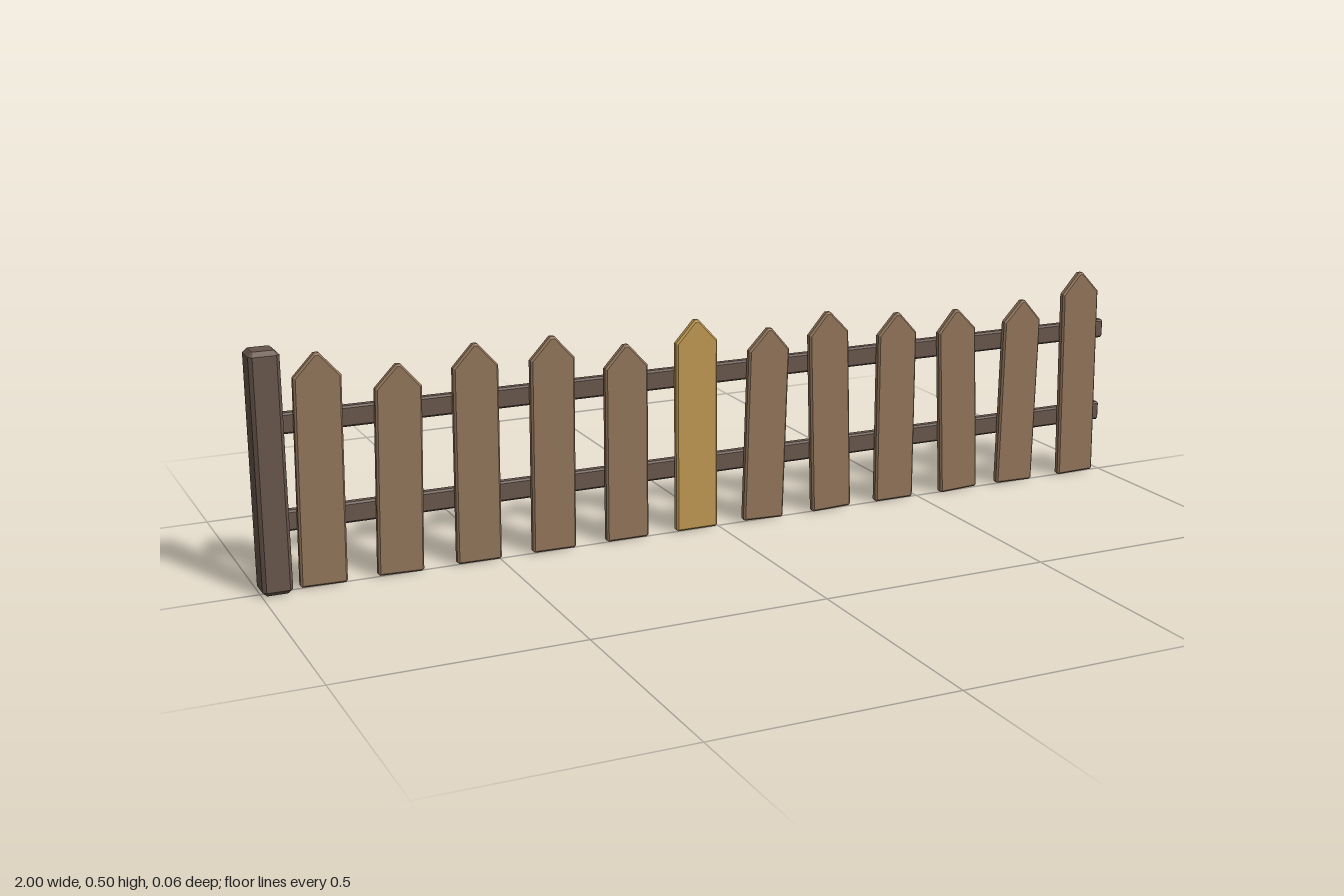
import * as THREE from 'three';

const paint = (name, color) => {
  const m = new THREE.MeshStandardMaterial({ color });
  m.name = name;
  return m;
};

// Solid outline with a single flat bevel, kept inside the outline and centred in depth
function beveled(points, depth, bevel) {
  const shape = new THREE.Shape(points.map(([x, y]) => new THREE.Vector2(x, y)));
  const g = new THREE.ExtrudeGeometry(shape, {
    depth: depth - 2 * bevel, bevelEnabled: true, bevelThickness: bevel,
    bevelSize: bevel, bevelOffset: -bevel, bevelSegments: 1,
  });
  return g.translate(0, 0, bevel - depth / 2);
}

// Rectangle with chamfered corners
const chamferedRect = (w, h, c) => {
  const x = w / 2, y = h / 2;
  return [[-x + c, -y], [x - c, -y], [x, -y + c], [x, y - c], [x - c, y], [-x + c, y], [-x, y - c], [-x, -y + c]];
};

// Pointed board standing on its bottom centre
const picketOutline = (h) => {
  const w = 0.048, s = h - 0.047;
  return [[-w + 0.004, 0], [w - 0.004, 0], [w, 0.004], [w, s], [0.005, h], [-0.005, h], [-w, s], [-w, 0.004]];
};

export function createModel() {
  const group = new THREE.Group();
  group.name = 'picketFence';
  const darkWood = paint('dark wood', 0x66544a);
  const picketWood = paint('picket wood', 0x8f7359);
  const newWood = paint('yellow new wood', 0xbc964f);

  const add = (name, geometry, material, x, y, z) => {
    const mesh = new THREE.Mesh(geometry, material);
    mesh.name = name;
    mesh.position.set(x, y, z);
    group.add(mesh);
    return mesh;
  };

  // End post
  const post = beveled(chamferedRect(0.061, 0.061, 0.007), 0.494, 0.009).rotateX(-Math.PI / 2);
  add('post', post, darkWood, -0.9695, 0.25, 0);

  // Two rails behind the pickets
  for (const [name, y] of [['lowerRail', 0.141], ['upperRail', 0.34]]) {
    const rail = beveled(chamferedRect(0.021, 0.043, 0.004), 1.96, 0.003).rotateY(Math.PI / 2);
    add(name, rail, darkWood, 0.02, y, -0.0195);
  }

  // Pickets: foot x, tip x, height
  const pickets = [
    [-0.872, -0.863, 0.479], [-0.713, -0.701, 0.439], [-0.546, -0.541, 0.464], [-0.381, -0.376, 0.462],
    [-0.215, -0.213, 0.428], [-0.053, -0.052, 0.465], [0.107, 0.121, 0.43], [0.277, 0.263, 0.452],
    [0.437, 0.437, 0.433], [0.608, 0.589, 0.426], [0.758, 0.766, 0.431], [0.929, 0.921, 0.482],
  ];
  pickets.forEach(([foot, tip, top], i) => {
    const board = beveled(picketOutline(top - 0.003), 0.018, 0.004);
    const mesh = add(`picket${i + 1}`, board, i === 5 ? newWood : picketWood, foot, 0.003, 0);
    mesh.rotation.z = Math.atan2(foot - tip, top);
  });

  return group;
}
